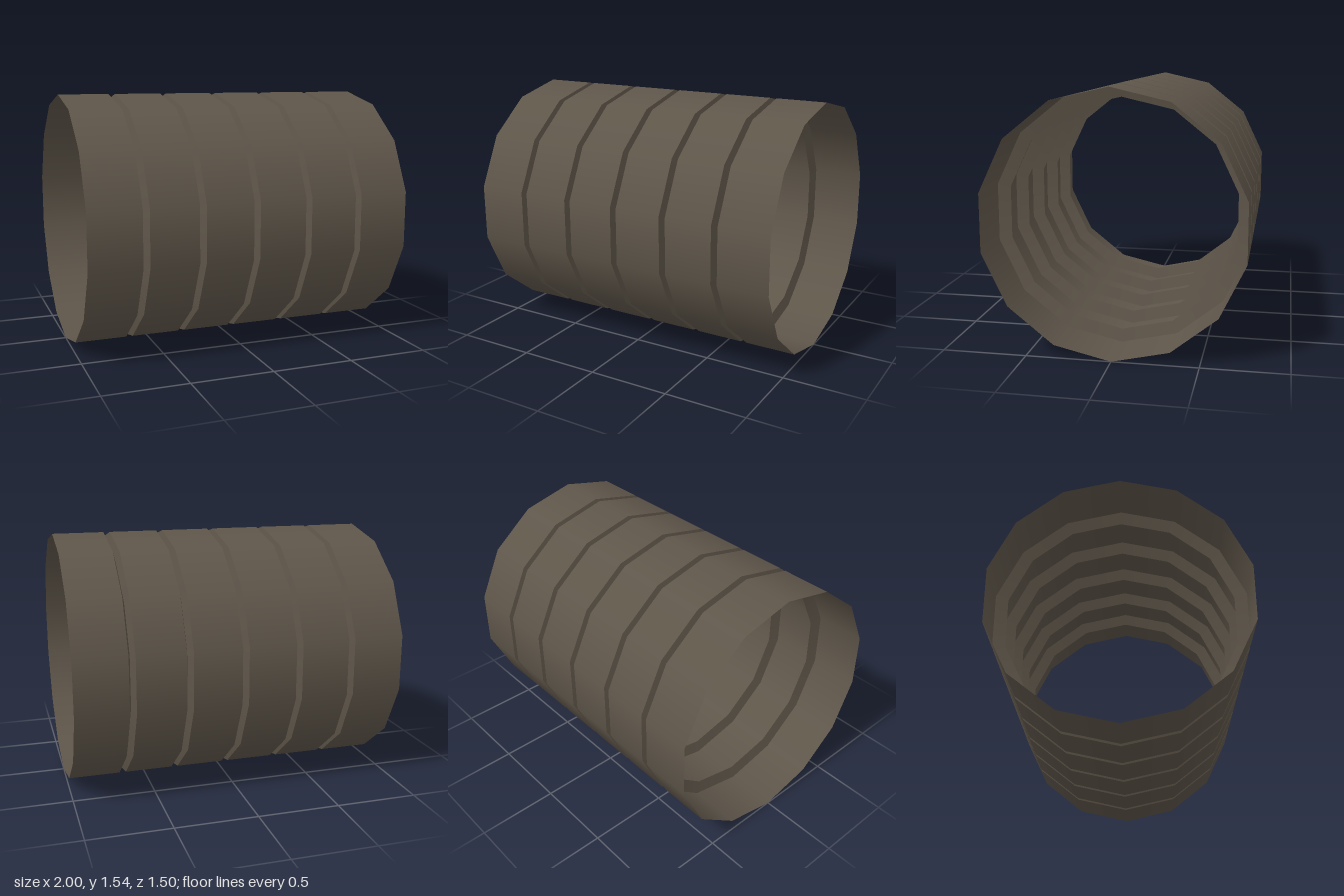
import * as THREE from 'three';

const SIDES = 14, R = 0.77, GROOVE_R = 0.695, HALF_GAP = 0.02;

export function createModel() {
  const group = new THREE.Group();
  group.name = 'ribbedTube';
  const metal = new THREE.MeshStandardMaterial({ color: 0x5f564a, side: THREE.DoubleSide });
  metal.name = 'dullBrownMetal';

  // open ring along x, from x0 (radius r0) to x1 (radius r1), with a corner at the top
  const ring = (name, x0, r0, x1, r1) => {
    const geo = new THREE.CylinderGeometry(r1, r0, x1 - x0, SIDES, 1, true, Math.PI / 2);
    geo.rotateZ(-Math.PI / 2);
    const mesh = new THREE.Mesh(geo, metal);
    mesh.name = name;
    mesh.position.set((x0 + x1) / 2, R, 0);
    group.add(mesh);
  };

  // six outer bands, with a V groove between each pair
  const COUNT = 6, step = 2 / COUNT;
  for (let i = 0; i < COUNT; i++) {
    const a = -1 + i * step, b = a + step;
    const last = i === COUNT - 1;
    ring(`band${i + 1}`, i ? a + HALF_GAP : a, R, last ? b : b - HALF_GAP, R);
    if (last) continue;
    ring(`grooveRightWall${i + 1}`, b - HALF_GAP, R, b, GROOVE_R);
    ring(`grooveLeftWall${i + 1}`, b, GROOVE_R, b + HALF_GAP, R);
  }
  return group;
}
